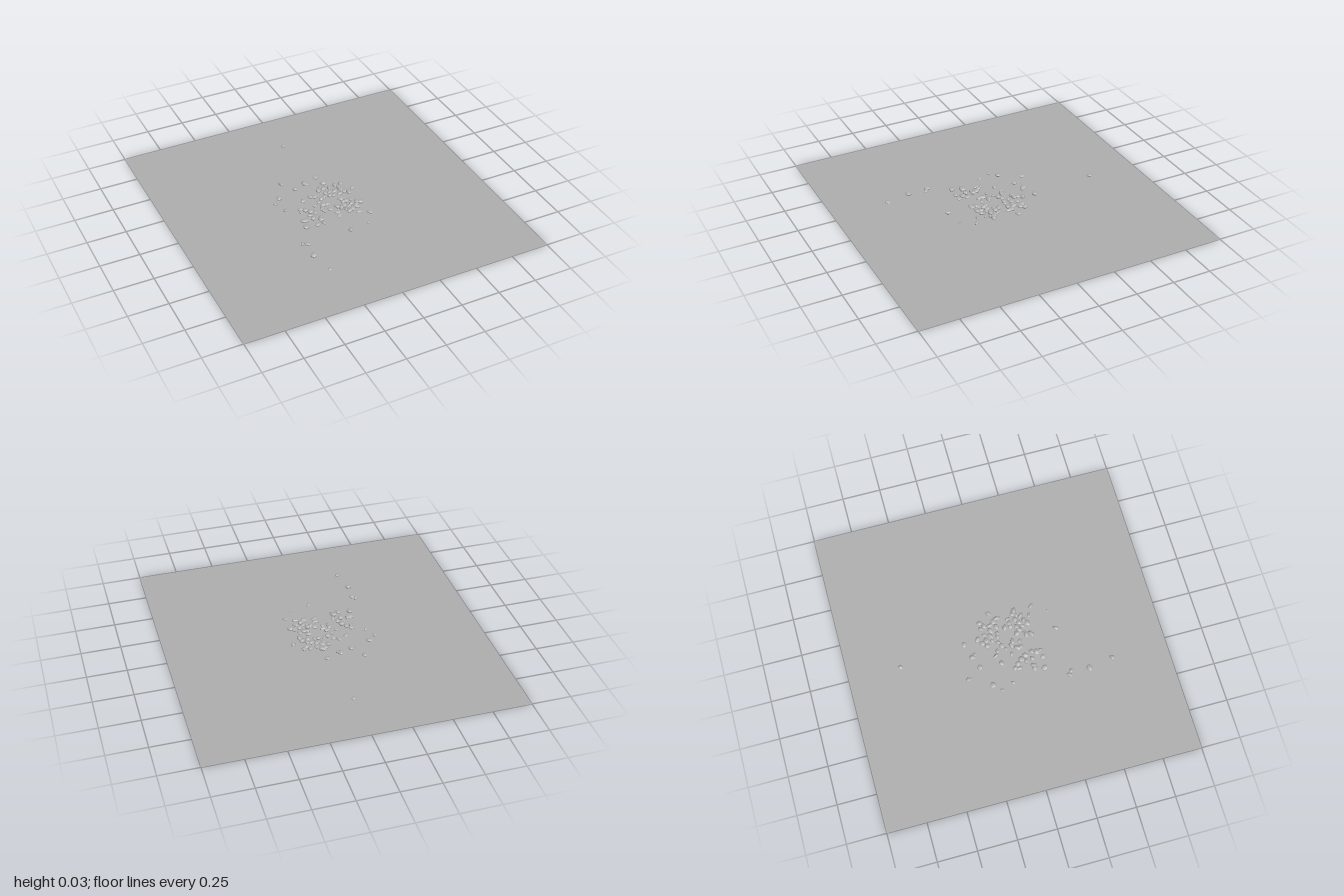
import * as THREE from 'three';

// Stray pebbles: x, z, radius
const STRAY = [
  0, -0.665, 0.016, -0.19, -0.27, 0.02, -0.135, -0.185, 0.021, -0.055, -0.215, 0.021,
  -0.045, -0.195, 0.016, 0.037, -0.24, 0.021, -0.27, -0.135, 0.021, -0.315, -0.087, 0.013,
  -0.285, -0.01, 0.015, -0.33, 0.348, 0.018, -0.303, 0.365, 0.018, -0.32, 0.485, 0.023,
  -0.287, 0.64, 0.017, -0.005, 0.348, 0.02, 0.125, 0.332, 0.011, 0.183, 0.24, 0.018,
  0.203, -0.035, 0.02, 0.183, 0.122, 0.021, -0.245, 0.21, 0.021, -0.23, 0.147, 0.022,
];
// Pebbles of the central heap: x, z
const HEAP = [
  0.045, -0.15, 0.02, -0.13, 0.07, -0.1, 0.115, -0.11, 0.155, -0.11, 0.13, -0.09,
  -0.005, -0.1, 0.03, -0.1, -0.085, -0.065, -0.145, -0.045, -0.055, -0.05, 0.02, -0.06,
  0.055, -0.065, 0.085, -0.055, 0.12, -0.05, -0.03, -0.015, 0.0, -0.03, 0.035, -0.025,
  0.06, -0.015, 0.1, -0.015, 0.14, -0.02, 0.155, 0.005, -0.2, 0.03, -0.205, 0.055,
  -0.175, 0.055, -0.1, 0.035, -0.06, 0.01, -0.045, 0.05, -0.02, 0.06, 0.08, 0.04,
  0.105, 0.075, 0.135, 0.07, 0.08, 0.075, -0.15, 0.085, -0.165, 0.11, -0.135, 0.115,
  -0.065, 0.105, -0.07, 0.08, -0.025, 0.105, 0.025, 0.1, 0.045, 0.12, 0.07, 0.115,
  0.09, 0.135, 0.12, 0.115, 0.145, 0.13, 0.16, 0.11, -0.21, 0.145, -0.165, 0.15,
  -0.115, 0.16, -0.13, 0.19, -0.17, 0.22, -0.12, 0.215, 0.0, 0.16, 0.02, 0.155,
  0.0, 0.19, 0.065, 0.15, 0.07, 0.185, 0.1, 0.17, 0.135, 0.155, 0.125, 0.21,
];

function seeded(seed) {
  return () => {
    seed = (seed * 16807) % 2147483647;
    return seed / 2147483647;
  };
}

// Faceted stone: a ball with gentle lumps that depend on direction
function stoneGeometry(phase) {
  const geometry = new THREE.IcosahedronGeometry(1, 1);
  const p = geometry.attributes.position;
  for (let i = 0; i < p.count; i++) {
    const x = p.getX(i), y = p.getY(i), z = p.getZ(i);
    const k = 1 + 0.13 * Math.sin(2.3 * x + phase) + 0.11 * Math.sin(2.9 * z + 1.7 * phase)
      + 0.06 * Math.cos(3.1 * y - phase);
    p.setXYZ(i, x * k, y * k, z * k);
  }
  geometry.computeVertexNormals();
  geometry.computeBoundingBox();
  return geometry;
}

export function createModel() {
  const model = new THREE.Group();
  model.name = 'pebblesOnGround';
  const groundGrey = new THREE.MeshStandardMaterial({ color: 0xb0b0b0, side: THREE.DoubleSide });
  groundGrey.name = 'groundGrey';
  const stoneGrey = new THREE.MeshStandardMaterial({ color: 0xb0b0b0, flatShading: true });
  stoneGrey.name = 'stoneGrey';

  // Flat square ground sheet
  const ground = new THREE.Mesh(new THREE.PlaneGeometry(2, 2).rotateX(-Math.PI / 2), groundGrey);
  ground.name = 'ground';
  model.add(ground);

  const random = seeded(4217);
  const shapes = [0.4, 1.5, 2.6, 3.7, 4.8].map(stoneGeometry);
  const pebbles = new THREE.Group();
  pebbles.name = 'pebbles';
  model.add(pebbles);

  function addPebble(name, x, z, r, lift = 0) {
    const geometry = shapes[Math.floor(random() * shapes.length)];
    const pebble = new THREE.Mesh(geometry, stoneGrey);
    const height = r * (0.42 + 0.12 * random());
    pebble.name = name;
    pebble.scale.set(r, height, r * (0.72 + 0.2 * random()));
    pebble.rotation.y = random() * Math.PI * 2;
    pebble.position.set(x, 0.002 + lift - geometry.boundingBox.min.y * height, z);
    pebbles.add(pebble);
  }

  for (let i = 0; i < STRAY.length; i += 3) addPebble('strayPebble', STRAY[i], STRAY[i + 1], STRAY[i + 2]);
  // A few heap pebbles rest on their neighbours
  for (let i = 0; i < HEAP.length; i += 2) {
    addPebble('heapPebble', HEAP[i], HEAP[i + 1], 0.015 + 0.007 * random(), i % 14 === 0 ? 0.008 : 0);
  }
  return model;
}
